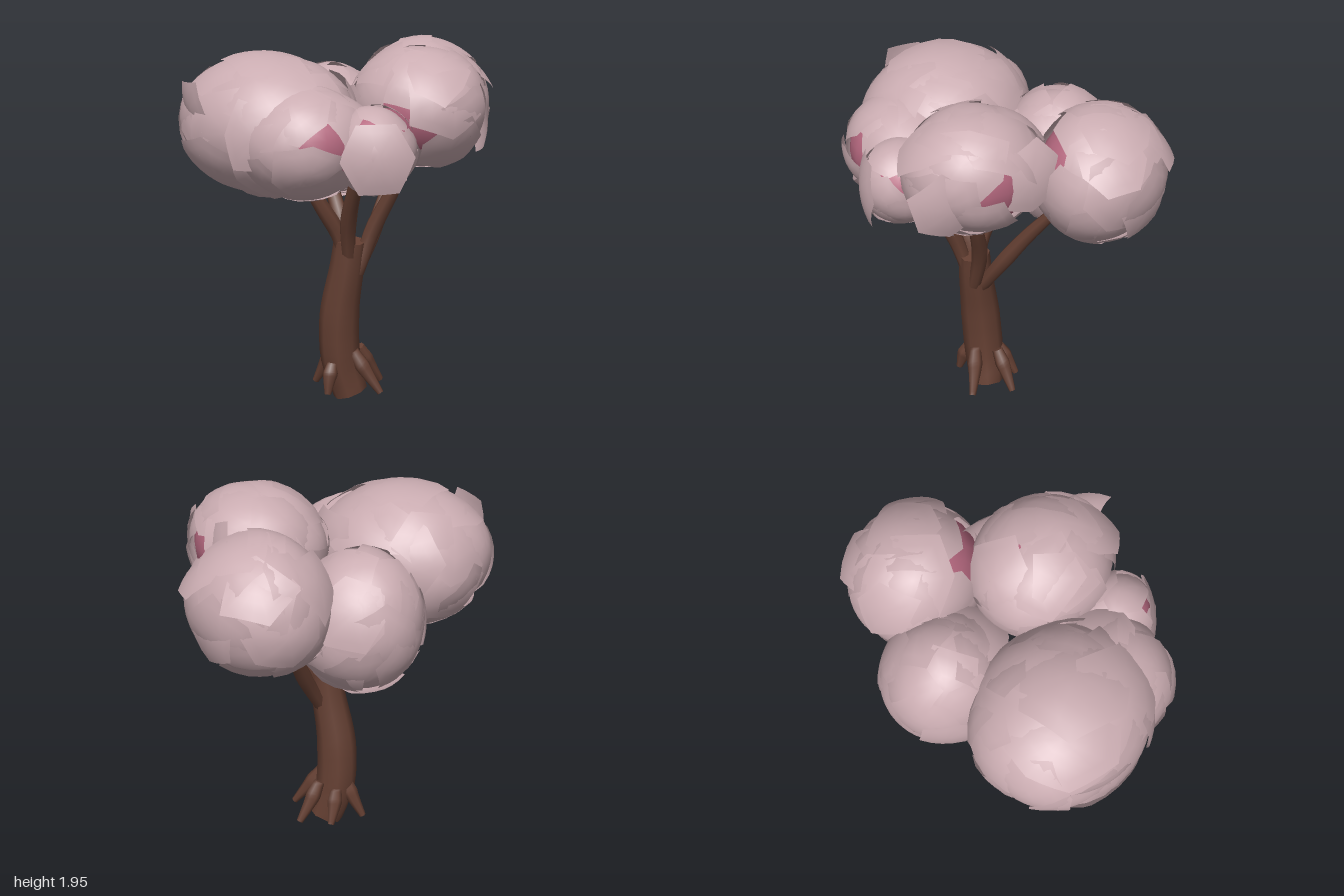
import * as THREE from 'three';
import { mergeGeometries, toCreasedNormals } from 'three/addons/utils/BufferGeometryUtils.js';

const V = (x, y, z) => new THREE.Vector3(x, y, z);

// Small seeded generator, returns -1..1
let seed = 7;
function rnd() {
  seed = (seed * 16807) % 2147483647;
  return (seed / 2147483647) * 2 - 1;
}

// Tapered, capped limb along a smooth path
function limb(points, radii, sides, material, name) {
  const curve = new THREE.CatmullRomCurve3(points.map(p => V(...p)));
  const seg = 16;
  const geo = new THREE.TubeGeometry(curve, seg, 1, sides);
  const pos = geo.attributes.position;
  const v = V();
  for (let i = 0; i <= seg; i++) {
    const centre = curve.getPointAt(i / seg);
    const t = THREE.MathUtils.clamp((i - 1) / (seg - 2), 0, 1);
    const k = t * (radii.length - 1), a = Math.min(Math.floor(k), radii.length - 2);
    const r = i === 0 || i === seg ? 0 : THREE.MathUtils.lerp(radii[a], radii[a + 1], k - a);
    const moved = curve.getPointAt(t);
    for (let j = 0; j <= sides; j++) {
      const n = i * (sides + 1) + j;
      v.fromBufferAttribute(pos, n).sub(centre).multiplyScalar(r).add(moved);
      pos.setXYZ(n, v.x, v.y, v.z);
    }
  }
  geo.deleteAttribute('uv');
  geo.computeVertexNormals();
  const mesh = new THREE.Mesh(toCreasedNormals(geo, 0.95), material);
  mesh.name = name;
  return mesh;
}

// Curved polygonal leaf plate lying on an ellipsoid, tilted about its centre
function plate(dir, size, tiltX, tiltY, lift, c, r) {
  const corners = 5 + Math.round(Math.abs(rnd()) * 2);
  const radii = Array.from({ length: corners }, () => size * (1 + rnd() * 0.2));
  const spin = rnd() * Math.PI, per = 3, around = corners * per, rings = 4;
  const pts = [0, 0, 0], index = [];
  for (let k = 1; k <= rings; k++) {
    for (let j = 0; j < around; j++) {
      const a = Math.floor(j / per), f = (j % per) / per;
      const p0 = (a / corners) * Math.PI * 2 + spin, p1 = ((a + 1) / corners) * Math.PI * 2 + spin;
      const r0 = radii[a], r1 = radii[(a + 1) % corners];
      const x = THREE.MathUtils.lerp(r0 * Math.cos(p0), r1 * Math.cos(p1), f) * k / rings;
      const y = THREE.MathUtils.lerp(r0 * Math.sin(p0), r1 * Math.sin(p1), f) * k / rings;
      const ang = Math.hypot(x, y), s = Math.sin(ang) / ang;
      pts.push(x * s, y * s, Math.cos(ang) - 1);
      const n = (j + 1) % around, o = 1 + (k - 1) * around, q = o - around;
      if (k === 1) index.push(0, o + j, o + n);
      else index.push(q + j, o + j, o + n, q + j, o + n, q + n);
    }
  }
  const geo = new THREE.BufferGeometry();
  geo.setAttribute('position', new THREE.Float32BufferAttribute(pts, 3));
  geo.setIndex(index);
  geo.rotateX(tiltX).rotateY(tiltY).translate(0, 0, 1 + lift);
  geo.applyQuaternion(new THREE.Quaternion().setFromUnitVectors(V(0, 0, 1), dir));
  geo.scale(...r).translate(...c);
  geo.computeVertexNormals();
  return geo;
}

// Flatter plate at a direction from the cluster centre, leaning up or down and turned about y
function loosePlate([x, y, z, lean, turn = 0], c, r) {
  const bend = 0.45, dir = V(x, y, z).normalize();
  const facing = V(dir.x, dir.y + lean, dir.z).normalize().applyAxisAngle(V(0, 1, 0), turn);
  const centre = dir.multiply(V(...r)).multiplyScalar(1.02).add(V(...c)).addScaledVector(facing, -bend);
  return plate(facing, 0.19 / bend, 0, 0, 0, centre.toArray(), [bend, bend, bend]);
}

export function createModel() {
  seed = 7;
  const bark = new THREE.MeshStandardMaterial({ color: 0x643f32 });
  bark.name = 'bark brown';
  const blossom = new THREE.MeshStandardMaterial({ color: 0xcaacb1, side: THREE.DoubleSide });
  blossom.name = 'pale blossom';
  const core = new THREE.MeshStandardMaterial({ color: 0xb5687f });
  core.name = 'deep pink';
  const tree = new THREE.Group();
  tree.name = 'blossomTree';

  // Trunk
  tree.add(limb([[-0.04, 0.03, 0.02], [-0.07, 0.2, 0.06], [-0.06, 0.48, 0.08], [-0.01, 0.75, 0.07], [0.01, 0.9, 0.065]],
    [0.095, 0.11, 0.108, 0.095, 0.085], 8, bark, 'trunk'));

  // Branches, one into each leaf cluster
  [
    [[0.0, 0.8, 0.09], [-0.02, 0.95, 0.13], [-0.06, 1.15, 0.24], [-0.12, 1.4, 0.32]],
    [[0.03, 0.78, 0.09], [0.08, 1.0, 0.14], [0.19, 1.22, 0.19], [0.32, 1.45, 0.24]],
    [[-0.01, 0.8, 0.06], [-0.07, 1.0, 0.06], [-0.19, 1.17, 0.02], [-0.33, 1.35, -0.1]],
    [[0.04, 0.72, 0.04], [0.08, 0.95, -0.03], [0.19, 1.2, -0.09], [0.28, 1.45, -0.12]],
    [[0.0, 0.7, 0.02], [-0.01, 0.88, -0.1], [-0.05, 1.1, -0.25], [-0.1, 1.35, -0.45]],
  ].forEach((p, i) => tree.add(limb(p, [0.035, 0.045, 0.037, 0.025], 7, bark, 'branch' + (i + 1))));

  // Roots
  [
    [[-0.13, 0.27, 0.07], [-0.18, 0.17, 0.08], [-0.24, 0.06, 0.1]],
    [[-0.04, 0.22, 0.15], [-0.03, 0.14, 0.18], [-0.02, 0.06, 0.2]],
    [[0.02, 0.28, 0.05], [0.08, 0.17, 0.01], [0.15, 0.06, -0.03]],
    [[-0.05, 0.27, -0.05], [-0.04, 0.17, -0.11], [-0.02, 0.06, -0.18]],
    [[-0.13, 0.23, 0.0], [-0.15, 0.15, -0.04], [-0.17, 0.06, -0.09]],
  ].forEach((p, i) => tree.add(limb(p, [0.03, 0.042, 0.03, 0.018], 7, bark, 'root' + (i + 1))));

  // Leaf clusters: centre, radii, directions left bare, loose plates [x, y, z, lean, turn]
  const clusters = [
    { name: 'front', c: [-0.21, 1.54, 0.42], r: [0.48, 0.37, 0.43], bare: [],
      loose: [[-0.3, 0.25, 0.9, -0.5], [-0.7, 0.6, -0.5, 0], [0.6, 0, 0.75, 0.1]] },
    { name: 'frontLeft', c: [0.09, 1.48, 0.45], r: [0.35, 0.29, 0.32], bare: [[1, 0.05, 0.2]],
      loose: [[0.3, 0.85, -0.35, 0.6]] },
    { name: 'leftLow', c: [0.38, 1.46, 0.23], r: [0.23, 0.22, 0.21], bare: [[0.1, 0.85, 0.5], [0.4, 0.4, -0.8]],
      loose: [[0.75, -0.05, 0.6, 0.1]] },
    { name: 'left', c: [0.29, 1.63, -0.16], r: [0.38, 0.31, 0.34], bare: [[0.45, 0.05, 0.9], [0.15, -0.25, -0.95]],
      loose: [[0.87, -0.15, -0.35, 0.1, 0.65], [0, 0.1, -1, 0, -0.5], [-0.2, 0.75, 0.55, 0], [0.6, 0.6, 0.3, 0.3],
        [0.8, -0.6, 0.2, 0]] },
    { name: 'back', c: [-0.15, 1.56, -0.61], r: [0.37, 0.35, 0.33], bare: [[0.6, 0.4, 0.7]],
      loose: [[-0.5, 0.65, -0.65, 0.2], [0.1, 0.95, -0.45, 0.1], [0.55, 0.7, -0.65, 0.3], [0.1, -0.25, -0.95, 0.1],
        [-0.9, 0.55, 0.25, 0]] },
    { name: 'right', c: [-0.42, 1.41, -0.17], r: [0.33, 0.36, 0.32], bare: [],
      loose: [[-0.8, 0, 0.8, 0], [-0.2, -0.95, 0.05, 0], [0.1, -0.75, -0.6, 0], [-0.5, 0.45, -0.75, 0],
        [0.8, 0.75, 0.1, 0.5]] },
  ];
  for (const { name, c, r, bare, loose } of clusters) {
    const group = new THREE.Group();
    group.name = name + 'Cluster';

    // Pink heart of the cluster
    const heart = new THREE.Mesh(new THREE.SphereGeometry(0.91, 20, 14), core);
    heart.scale.set(...r);
    heart.position.set(...c);
    heart.name = name + 'Heart';

    // Overlapping plates spread evenly over the cluster
    const parts = [], count = 24;
    for (let i = 0; i < count; i++) {
      const y = 1 - (2 * i + 1) / count, w = Math.sqrt(1 - y * y), a = i * 2.39996;
      const dir = V(w * Math.cos(a) + rnd() * 0.06, y + rnd() * 0.06, w * Math.sin(a) + rnd() * 0.06).normalize();
      const tx = rnd() * 0.1, ty = rnd() * 0.1, lift = rnd() * 0.012;
      if (bare.some(b => dir.angleTo(V(...b)) < 0.58)) continue;
      parts.push(plate(dir, 0.66, tx, ty, lift, c, r));
    }
    // Loose plates that break the outline
    for (const p of loose) parts.push(loosePlate(p, c, r));
    const leaves = new THREE.Mesh(mergeGeometries(parts), blossom);
    leaves.name = name + 'Leaves';
    group.add(heart, leaves);
    tree.add(group);
  }
  return tree;
}
